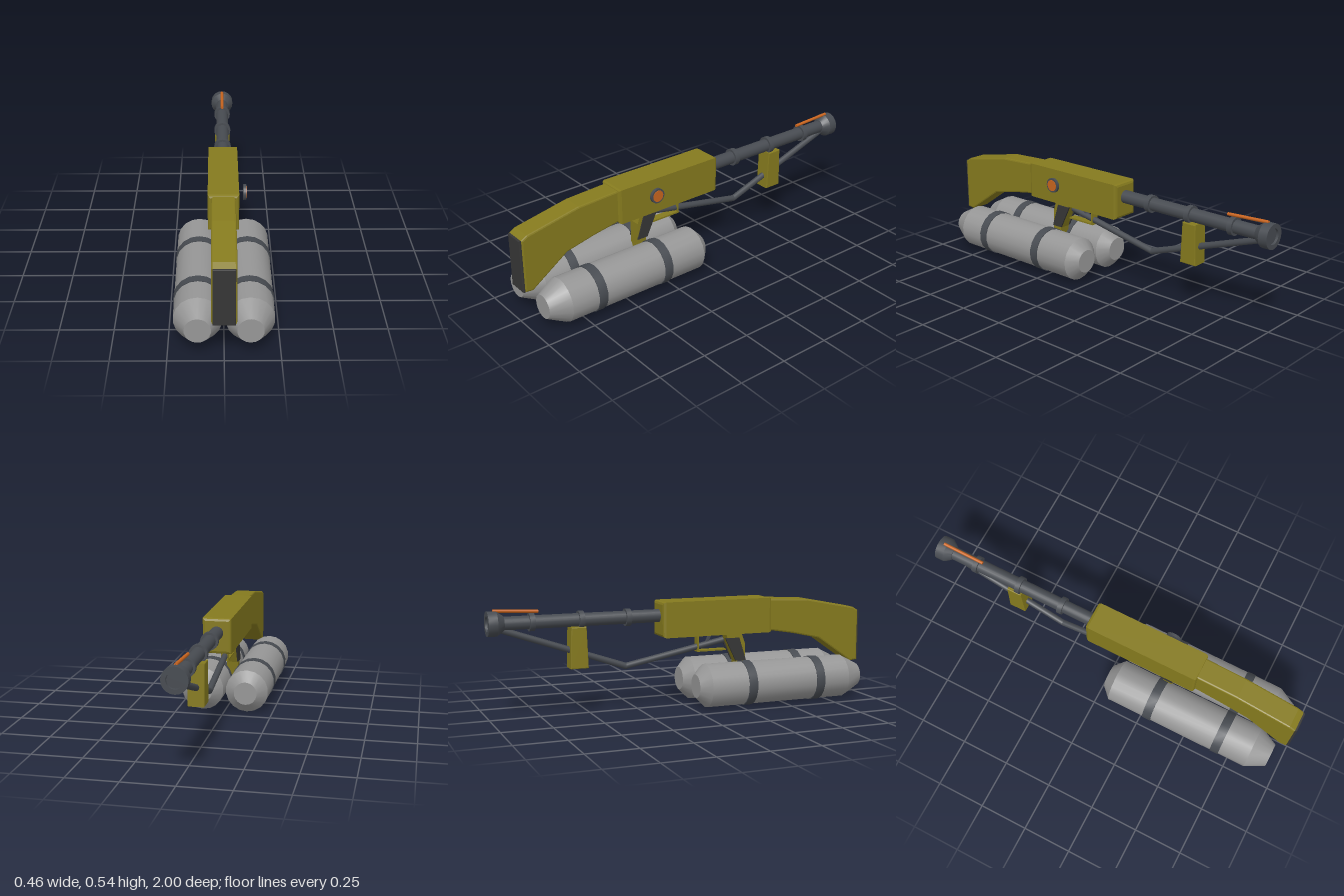
import * as THREE from 'three';
import { toCreasedNormals } from 'three/addons/utils/BufferGeometryUtils.js';

const mat = (name, color) => {
  const m = new THREE.MeshStandardMaterial({ color });
  m.name = name;
  return m;
};

export function createModel() {
  const olive = mat('olive', 0x857a1e);
  const steel = mat('tank grey', 0x969696);
  const gunmetal = mat('gunmetal', 0x474b51);
  const rubber = mat('dark rubber', 0x363636);
  const orange = mat('orange', 0xc8641e);

  const model = new THREE.Group();
  model.name = 'flamethrower';

  const add = (name, geometry, material, x = 0, y = 0, z = 0, parent = model) => {
    const mesh = new THREE.Mesh(geometry, material);
    mesh.name = name;
    mesh.position.set(x, y, z);
    parent.add(mesh);
    return mesh;
  };

  // Outline extruded symmetrically about the origin, with chamfered ends
  const prism = (points, depth, bevel = 0) => {
    const shape = new THREE.Shape(points.map(([a, b]) => new THREE.Vector2(a, b)));
    const g = new THREE.ExtrudeGeometry(shape, {
      depth: depth - 2 * bevel, bevelEnabled: bevel > 0, bevelSize: bevel,
      bevelThickness: bevel, bevelOffset: -bevel, bevelSegments: 2,
    });
    return g.translate(0, 0, bevel - depth / 2);
  };

  // Side profile given as [z, y], extruded across x
  const sideProfile = (points, width, bevel) => prism(points, width, bevel).rotateY(-Math.PI / 2);

  // Profile given as [radius, z], turned around the z axis
  const turned = (points, sides) => toCreasedNormals(
    new THREE.LatheGeometry(points.map(([r, z]) => new THREE.Vector2(r, z)), sides).rotateX(Math.PI / 2), 0.45);

  // Straight round bar between two [z, y] points in the middle plane
  const bar = (name, [z1, y1], [z2, y2], r, material) => {
    const g = new THREE.CylinderGeometry(r, r, Math.hypot(z2 - z1, y2 - y1), 12);
    const mesh = add(name, g, material, 0, (y1 + y2) / 2, (z1 + z2) / 2);
    mesh.rotation.x = Math.atan2(z2 - z1, y2 - y1);
    return mesh;
  };

  // Receiver, stock and butt pad
  const receiver = [[-0.073, 0.36], [0.073, 0.36], [0.073, 0.54], [-0.073, 0.54]];
  add('receiver', prism(receiver, 0.6, 0.014), olive, 0, 0, 0.167);
  add('stock', sideProfile([
    [0.45, 0.37], [0.60, 0.345], [0.755, 0.31], [0.95, 0.175], [0.99, 0.18],
    [0.99, 0.45], [0.96, 0.468], [0.68, 0.522], [0.45, 0.533],
  ], 0.112, 0.008), olive);
  add('buttPad', prism([[-0.05, 0.178], [0.05, 0.178], [0.05, 0.45], [-0.05, 0.45]], 0.03, 0.004),
    rubber, 0, 0, 0.985);

  // Barrel with rings and flared, recessed muzzle
  const axisY = 0.467;
  add('barrel', turned([[0, -0.94], [0.033, -0.94], [0.033, -0.1], [0, -0.1]], 20), gunmetal, 0, axisY);
  for (const z of [-0.3, -0.54, -0.785]) {
    add('barrelRing', turned([[0, -0.013], [0.044, -0.013], [0.044, 0.013], [0, 0.013]], 20),
      gunmetal, 0, axisY, z);
  }
  add('muzzle', turned([
    [0, -0.988], [0.038, -0.988], [0.038, -1], [0.061, -1], [0.061, -0.955], [0.036, -0.92], [0, -0.92],
  ], 20), gunmetal, 0, axisY);
  bar('igniter', [-0.75, 0.518], [-0.97, 0.529], 0.008, orange);

  // Fuel pipe bent below the barrel
  bar('fuelPipe', [0.22, 0.325], [-0.31, 0.222], 0.016, gunmetal);
  bar('fuelPipe', [-0.31, 0.222], [-0.95, 0.442], 0.016, gunmetal);
  add('pipeElbow', new THREE.SphereGeometry(0.016, 12, 8), gunmetal, 0, 0.222, -0.31);

  // Foregrip, slightly wider at the bottom
  add('foregrip', sideProfile([[-0.602, 0.23], [-0.512, 0.23], [-0.52, 0.435], [-0.597, 0.435]], 0.08, 0.004), olive);

  // Pistol grip with dark side panels
  add('grip', sideProfile([
    [0.225, 0.37], [0.235, 0.33], [0.285, 0.21], [0.30, 0.11], [0.335, 0.11], [0.335, 0.30], [0.31, 0.37],
  ], 0.06, 0), olive);
  for (const side of [-1, 1]) {
    add('gripPanel', sideProfile([[0.222, 0.335], [0.28, 0.215], [0.338, 0.215], [0.30, 0.335]], 0.008, 0),
      rubber, side * 0.031);
  }

  // Trigger and its guard
  add('guardBottom', new THREE.BoxGeometry(0.04, 0.008, 0.16), olive, 0, 0.276, 0.15);
  add('guardFront', new THREE.BoxGeometry(0.04, 0.09, 0.008), olive, 0, 0.317, 0.076);
  add('trigger', sideProfile([[0.145, 0.365], [0.12, 0.31], [0.128, 0.305], [0.142, 0.33], [0.16, 0.365]], 0.016, 0), gunmetal);

  // Pressure gauge on the left side
  const disc = (r, h) => new THREE.CylinderGeometry(r, r, h, 24).rotateZ(Math.PI / 2);
  add('gauge', disc(0.038, 0.014), gunmetal, 0.103, 0.466, 0.267);
  add('gaugeFace', disc(0.029, 0.004), orange, 0.111, 0.466, 0.267);

  // Twin fuel tanks with straps
  for (const side of [-1, 1]) {
    const tank = new THREE.Group();
    tank.name = side > 0 ? 'leftTank' : 'rightTank';
    tank.position.set(side * 0.117, 0.115, 0);
    model.add(tank);
    add('tankBody', turned([
      [0, 0.022], [0.06, 0.022], [0.111, 0.072], [0.111, 0.845], [0.06, 0.942], [0, 0.942],
    ], 18), steel, 0, 0, 0, tank);
    for (const z of [0.293, 0.678]) {
      add('tankStrap', turned([[0.1, -0.023], [0.115, -0.023], [0.115, 0.023], [0.1, 0.023]], 18),
        gunmetal, 0, 0, z, tank);
    }
  }
  add('tankConnector', new THREE.BoxGeometry(0.04, 0.016, 0.046), gunmetal, 0, 0.108, 0.293);

  return model;
}
